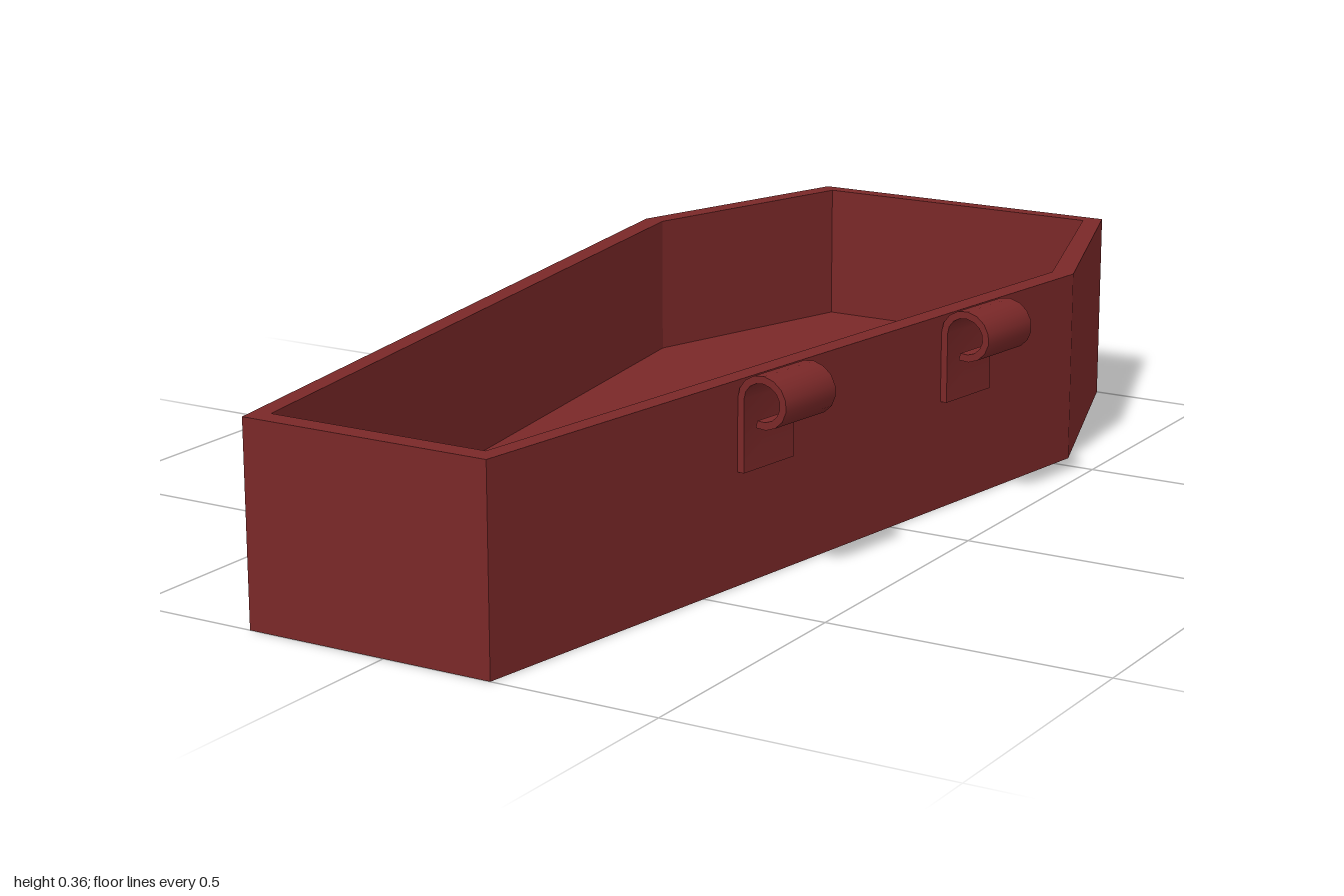
import * as THREE from 'three';
import { toCreasedNormals } from 'three/addons/utils/BufferGeometryUtils.js';

const CX = -0.03; // the box's own middle line; the hooks stick out on +x

// Symmetric six-sided outline from [halfWidth, z] pairs, in plan (shape y = -z)
function outline(pairs, Type = THREE.Shape) {
  const right = pairs.map(([w, z]) => new THREE.Vector2(CX + w, -z));
  const left = pairs.map(([w, z]) => new THREE.Vector2(CX - w, -z)).reverse();
  return new Type([...right, ...left]);
}

// Extrude a plan shape upwards from y0 to y1
function slab(shape, y0, y1) {
  const geo = new THREE.ExtrudeGeometry(shape, { depth: y1 - y0, bevelEnabled: false });
  geo.rotateX(-Math.PI / 2);
  geo.translate(0, y0, 0);
  return geo;
}

// Curled strap: flat stem against the wall, rolling over outwards at the top
function hookGeometry(width) {
  const t = 0.013, c = new THREE.Vector2(0.05, 0.32), steps = 12;
  const arc = (rx, ry) => Array.from({ length: steps + 1 }, (_, i) => {
    const a = Math.PI - (i / steps) * Math.PI * 1.58;
    return new THREE.Vector2(c.x + rx * Math.cos(a), c.y + ry * Math.sin(a));
  });
  const points = [
    new THREE.Vector2(0, 0.195),
    ...arc(0.05, 0.045),
    ...arc(0.05 - t, 0.045 - t).reverse(),
    new THREE.Vector2(t, 0.195),
  ];
  const geo = new THREE.ExtrudeGeometry(new THREE.Shape(points), { depth: width, bevelEnabled: false });
  geo.translate(0, 0, -width / 2);
  return toCreasedNormals(geo, 0.7);
}

export function createModel() {
  const group = new THREE.Group();
  const wood = new THREE.MeshStandardMaterial({ color: 0x7a2828 });
  const add = (name, geo) => {
    const mesh = new THREE.Mesh(geo, wood);
    mesh.name = name;
    group.add(mesh);
    return mesh;
  };

  // Hollow tapered walls
  const outer = [[0.23, 1], [0.46, -0.545], [0.307, -1]];
  const inner = [[0.203, 0.962], [0.42, -0.54], [0.28, -0.97]];
  const walls = outline(outer);
  walls.holes.push(outline(inner, THREE.Path));
  add('walls', slab(walls, 0, 0.35));

  // Floor panel, set slightly up from the bottom edge
  const floor = [[0.203, 0.955], [0.42, -0.54], [0.28, -0.97]];
  add('floor', slab(outline(floor), 0.01, 0.095));

  // Two hinge hooks lying along the long slanted wall
  const [[w0, z0], [w1, z1]] = outer;
  const angle = Math.atan2(w1 - w0, z0 - z1);
  const hook = hookGeometry(0.13);
  [['frontHinge', 0.35], ['backHinge', -0.205]].forEach(([name, z]) => {
    const mesh = add(name, hook);
    mesh.position.set(CX + w0 + (w1 - w0) * (z0 - z) / (z0 - z1), 0, z);
    mesh.rotation.y = -angle;
  });

  return group;
}
